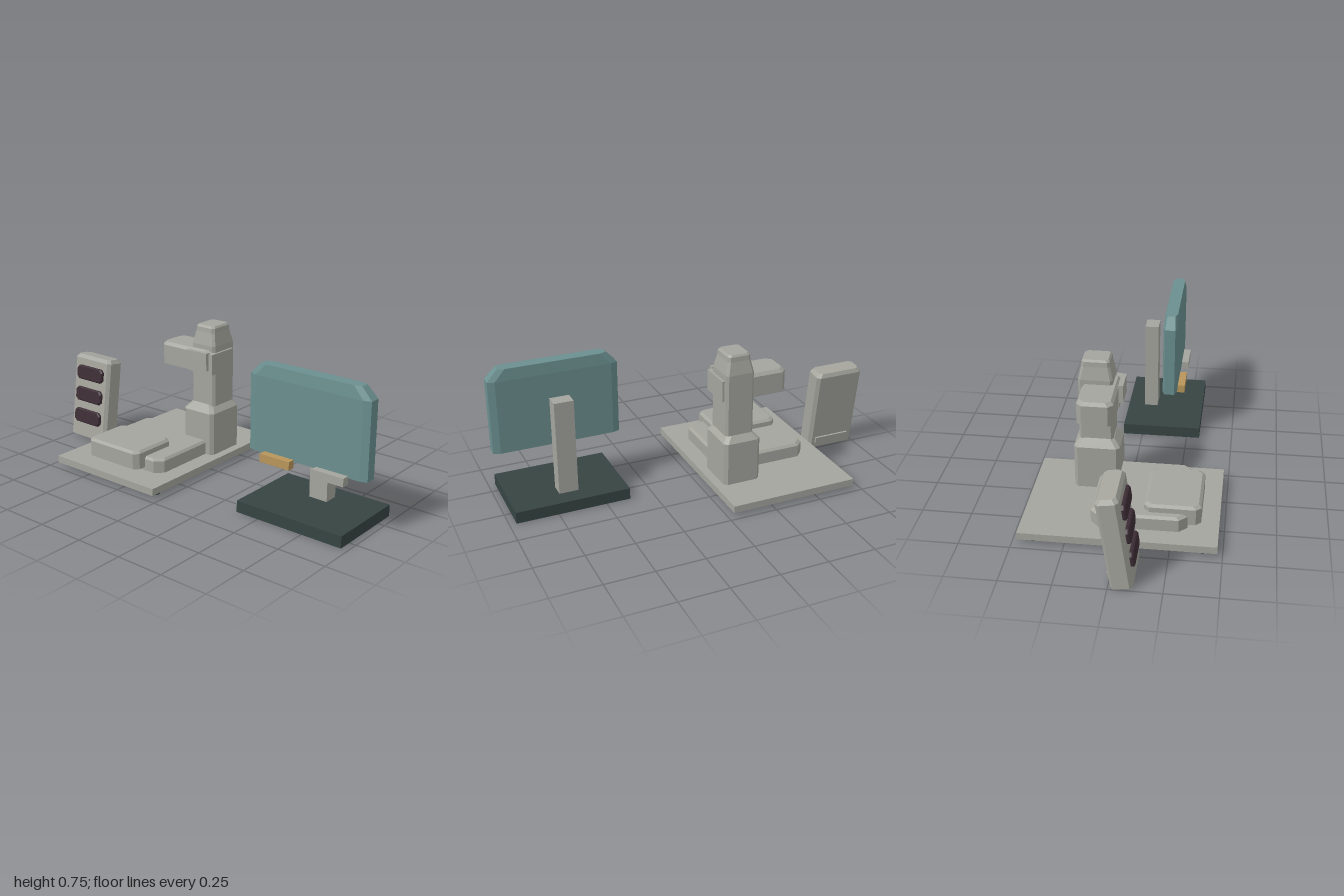
import * as THREE from 'three';

const mat = (name, color) => {
  const m = new THREE.MeshStandardMaterial({ color });
  m.name = name;
  return m;
};

// Faceted block: octagonal footprint lofted through [y, insetX, insetZ] rings
function blockGeometry([x0, x1], [z0, z1], cx, cz, rings) {
  const pos = [];
  const loops = rings.map(([y, ix = 0, iz = ix]) => {
    const a = x0 + ix, b = x1 - ix, c = z0 + iz, d = z1 - iz;
    return [[a + cx, d], [b - cx, d], [b, d - cz], [b, c + cz], [b - cx, c], [a + cx, c], [a, c + cz], [a, d - cz]]
      .map(([x, z]) => [x, y, z]);
  });
  const tri = (...pts) => pts.forEach(p => pos.push(...p));
  for (let r = 0; r < loops.length - 1; r++) {
    for (let i = 0; i < 8; i++) {
      const j = (i + 1) % 8, lo = loops[r], hi = loops[r + 1];
      tri(lo[i], lo[j], hi[j]);
      tri(lo[i], hi[j], hi[i]);
    }
  }
  const bottom = loops[0], top = loops[loops.length - 1];
  for (let i = 1; i < 7; i++) {
    tri(top[0], top[i], top[i + 1]);
    tri(bottom[0], bottom[i + 1], bottom[i]);
  }
  const g = new THREE.BufferGeometry();
  g.setAttribute('position', new THREE.Float32BufferAttribute(pos, 3));
  g.computeVertexNormals();
  return g;
}

export function createModel() {
  const model = new THREE.Group();
  model.name = 'workstation';
  const grey = mat('warm grey', 0xa5a59e);
  const teal = mat('muted teal', 0x6b8f8f);
  const dark = mat('dark green grey', 0x364442);
  const plum = mat('dark plum', 0x3c2d35);
  const tan = mat('tan', 0xb8965a);

  const add = (parent, name, geometry, material) => {
    const m = new THREE.Mesh(geometry, material);
    m.name = name;
    parent.add(m);
    return m;
  };
  const box = (parent, name, material, [x0, x1], [y0, y1], [z0, z1]) => {
    const m = add(parent, name, new THREE.BoxGeometry(x1 - x0, y1 - y0, z1 - z0), material);
    m.position.set((x0 + x1) / 2, (y0 + y1) / 2, (z0 + z1) / 2);
    return m;
  };
  const block = (parent, name, material, ...args) => add(parent, name, blockGeometry(...args), material);
  const group = name => {
    const g = new THREE.Group();
    g.name = name;
    model.add(g);
    return g;
  };

  // Instrument: base plate on four round feet
  const stand = group('instrument');
  box(stand, 'basePlate', grey, [-0.71, -0.03], [0.02, 0.057], [-0.475, 0.475]);
  for (const x of [-0.655, -0.083]) {
    for (const z of [-0.408, 0.408]) {
      add(stand, 'foot', new THREE.CylinderGeometry(0.032, 0.032, 0.02, 16), dark).position.set(x, 0.01, z);
    }
  }

  // Stage and the overhanging tray
  block(stand, 'stage', grey, [-0.61, -0.12], [-0.14, 0.325], 0.04, 0.04,
    [[0.057], [0.12], [0.132, 0.012]]);
  block(stand, 'tray', grey, [-0.57, -0.22], [0.115, 0.388], 0.025, 0.025,
    [[0.075], [0.158], [0.17, 0.014]]);

  // Column with a wide foot and a tapered head
  block(stand, 'columnFoot', grey, [-0.275, -0.075], [-0.27, -0.04], 0.018, 0.018,
    [[0.057], [0.285], [0.325, 0.033]]);
  block(stand, 'column', grey, [-0.242, -0.09], [-0.245, -0.075], 0.012, 0.012,
    [[0.32], [0.645], [0.71, 0.014], [0.735, 0.016], [0.745, 0.024]]);

  // Side arm, its collar and front plate
  block(stand, 'arm', grey, [-0.435, -0.1], [-0.225, -0.048], 0.025, 0.025,
    [[0.505], [0.608], [0.624, 0.014]]);
  box(stand, 'collar', grey, [-0.235, -0.078], [0.502, 0.612], [-0.22, -0.045]);
  box(stand, 'armPlate', grey, [-0.232, -0.1], [0.525, 0.62], [-0.05, -0.025]);

  // Tower unit, leaning back on its rear lower edge
  const tower = group('tower');
  tower.position.set(-0.864, 0, 0.012);
  tower.rotation.x = -0.14;
  block(tower, 'towerBody', grey, [-0.136, 0.136], [0, 0.105], 0.018, 0.015,
    [[0], [0.445], [0.465, 0.016, 0.012]]);
  box(tower, 'rearLedge', grey, [-0.1, 0.1], [0.03, 0.065], [-0.01, 0.01]);
  for (const y of [0.12, 0.244, 0.368]) {
    const vent = block(tower, 'vent', plum, [-0.098, 0.098], [-0.039, 0.039], 0.016, 0.016,
      [[0], [0.012], [0.018, 0.005]]);
    vent.rotation.x = Math.PI / 2;
    vent.position.set(0, y, 0.104);
  }

  // Display on a separate post and base
  const display = group('display');
  box(display, 'displayBase', dark, [0.375, 0.965], [0, 0.06], [-0.103, 0.32]);
  box(display, 'post', grey, [0.617, 0.717], [0.06, 0.555], [-0.012, 0.062]);
  block(display, 'screen', teal, [0.343, 1], [0.111, 0.189], 0.035, 0.012,
    [[0.28], [0.662], [0.72, 0.055, 0.006]]);
  box(display, 'leftLabelBar', grey, [0.733, 0.905], [0.248, 0.29], [0.187, 0.227]);
  box(display, 'rightLabelBar', tan, [0.438, 0.607], [0.248, 0.29], [0.187, 0.227]);

  return model;
}
